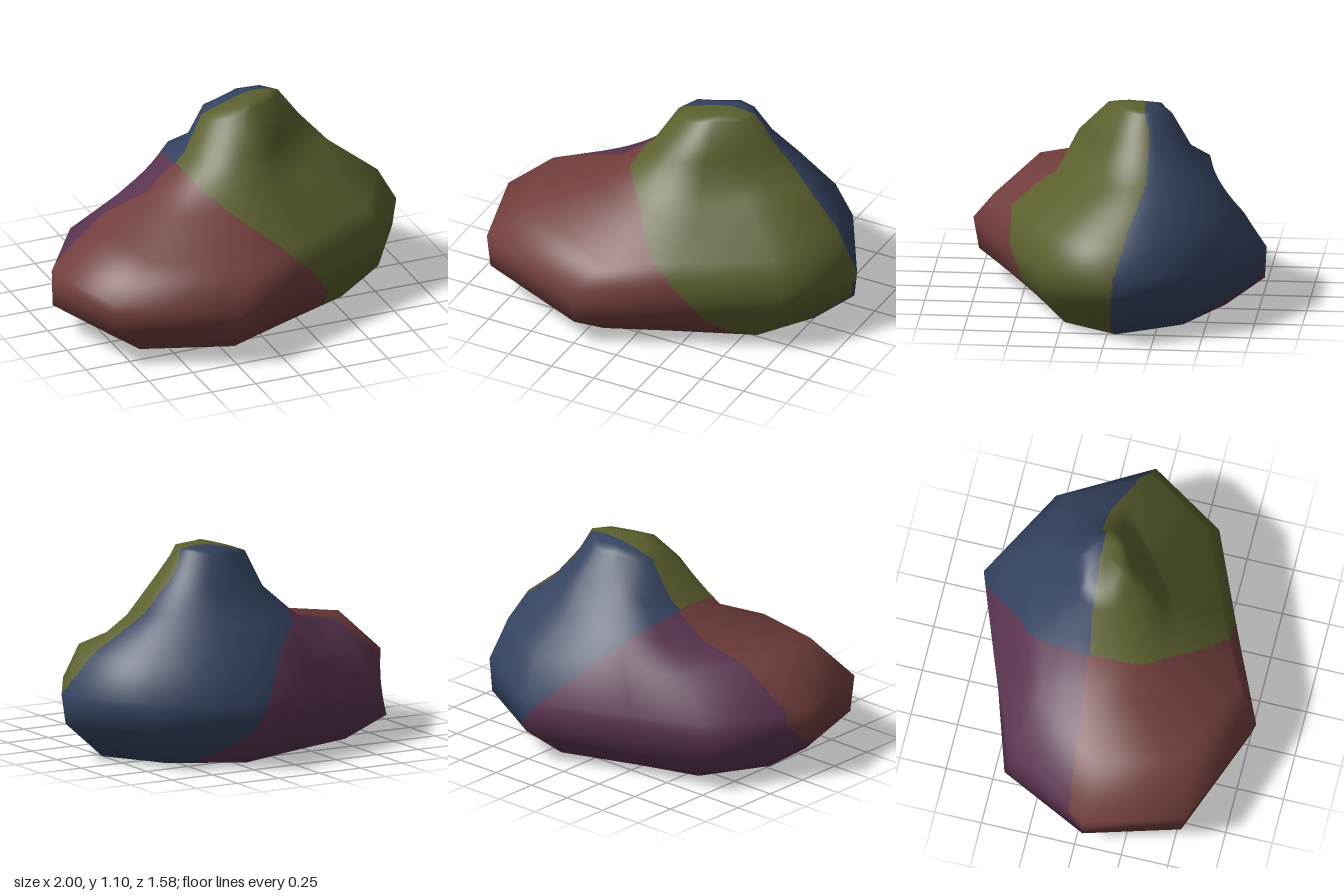
import * as THREE from 'three';

// Widest outline of the boulder, one [x, z] point per spoke
const OUTLINE = [
  [1, -0.05], [0.75, 0.35], [0.22, 0.58], [-0.24, 0.79], [-0.86, 0.56],
  [-1, 0.05], [-0.75, -0.44], [-0.32, -0.58], [0.24, -0.79], [0.73, -0.52],
];

// Rings from the open base to the summit: extents in x and z, height at each spoke,
// and a bulge factor for the spokes that leave the regular outline
const RINGS = [
  { x: [-0.75, 0.75], z: [-0.57, 0.55], y: [0, 0, 0, 0, 0, 0, 0, 0, 0, 0], bulge: {} },
  { x: [-0.99, 0.98], z: [-0.78, 0.76], y: [0.2, 0.19, 0.16, 0.14, 0.18, 0.165, 0.13, 0.15, 0.17, 0.18], bulge: {} },
  { x: [-1, 1], z: [-0.79, 0.79], y: [0.355, 0.35, 0.33, 0.31, 0.375, 0.37, 0.35, 0.35, 0.34, 0.36], bulge: { 6: 0.93 } },
  { x: [-0.74, 0.89], z: [-0.67, 0.67], y: [0.55, 0.53, 0.5, 0.48, 0.55, 0.6, 0.54, 0.54, 0.54, 0.58], bulge: { 6: 0.88 } },
  { x: [-0.43, 0.63], z: [-0.48, 0.34], y: [0.75, 0.69, 0.66, 0.63, 0.63, 0.63, 0.68, 0.72, 0.73, 0.78], bulge: { 1: 0.8, 7: 1.3, 9: 1.05 } },
  { x: [-0.2, 0.47], z: [-0.38, 0.21], y: [0.93, 0.91, 0.9, 0.9, 0.85, 0.82, 0.83, 0.86, 0.9, 0.93], bulge: { 1: 0.85 } },
  { x: [-0.08, 0.36], z: [-0.29, 0.05], y: [1.08, 1.08, 1.075, 1.065, 1.03, 1.02, 1.03, 1.035, 1.045, 1.07], bulge: {} },
  { x: [0.05, 0.3], z: [-0.22, -0.03], y: [1.09, 1.09, 1.09, 1.09, 1.07, 1.06, 1.065, 1.07, 1.075, 1.085], bulge: {} },
  { x: [0.2, 0.2], z: [-0.12, -0.12], y: [1.097, 1.097, 1.097, 1.097, 1.097, 1.097, 1.097, 1.097, 1.097, 1.097], bulge: {} },
];
const STEPS = 24;

// Piecewise linear curve through [t, value] pairs
function curve(points, t) {
  for (let i = 1; i < points.length; i++) {
    const [t0, v0] = points[i - 1], [t1, v1] = points[i];
    if (t <= t1) return THREE.MathUtils.lerp(v0, v1, Math.max(0, (t - t0) / (t1 - t0)));
  }
  return points[points.length - 1][1];
}

const FRONT_EDGE = [[0, 0.45], [0.18, 0.38], [0.33, 0.28], [0.51, 0.1], [0.65, -0.1], [0.76, -0.22], [0.82, -0.26], [1, -0.6]];
const BACK_EDGE = [[0, 0.42], [0.17, 0.3], [0.34, 0.17], [0.6, -0.08], [0.7, -0.18], [0.8, -0.26], [1, -0.6]];
const PEAK_SPLIT = [[0, -0.02], [0.36, -0.05], [0.6, -0.12], [0.77, -0.19], [1, -0.19], [1.1, -0.15]];

// Which colour patch a surface point belongs to
function patchAt(p) {
  const peakSplit = curve(PEAK_SPLIT, p.y) + Math.max(0, 0.2 - p.x) * 0.2;
  const lowSplit = -0.14 - 0.1 * p.x + Math.max(0, 0.3 - p.y) * 0.8;
  if (p.z > peakSplit && p.x > curve(FRONT_EDGE, p.y)) return 0;
  if (p.z <= peakSplit && p.x > curve(BACK_EDGE, p.y)) return 1;
  return p.z > lowSplit ? 2 : 3;
}

// Coarse cage: points and smooth normals
function buildCage() {
  const n = OUTLINE.length, positions = [], index = [];
  for (const r of RINGS) {
    OUTLINE.forEach(([ox, oz], j) => {
      const k = r.bulge[j] ?? 1;
      positions.push(
        THREE.MathUtils.lerp(r.x[0], r.x[1], (ox * k + 1) / 2),
        r.y[j],
        THREE.MathUtils.lerp(r.z[0], r.z[1], (oz * k / 0.79 + 1) / 2),
      );
    });
  }
  for (let i = 0; i < RINGS.length - 1; i++) {
    for (let j = 0; j < n; j++) {
      const a = i * n + j, b = i * n + (j + 1) % n, c = a + n, d = b + n;
      index.push(a, c, b, b, c, d);
    }
  }
  const cage = new THREE.BufferGeometry();
  cage.setAttribute('position', new THREE.Float32BufferAttribute(positions, 3));
  cage.setIndex(index);
  cage.computeVertexNormals();
  const normal = cage.attributes.normal;
  for (let j = 0; j < n; j++) normal.setXYZ((RINGS.length - 1) * n + j, 0, 1, 0);
  return cage;
}

// Blend of the four corners of a cage cell
function blend(attribute, ids, u, v) {
  const [a, b, c, d] = ids.map((i) => new THREE.Vector3().fromBufferAttribute(attribute, i));
  return a.lerp(b, u).lerp(c.lerp(d, u), v);
}

export function createModel() {
  const group = new THREE.Group();
  group.name = 'boulder';

  const patches = [
    ['olivePeakFace', 'olive', 0x5b5f2d],
    ['bluePeakBack', 'slate blue', 0x354360],
    ['redFrontShoulder', 'brick red', 0x703d3c],
    ['purpleBackShoulder', 'plum', 0x5a3450],
  ].map(([name, colorName, hex]) => {
    const material = new THREE.MeshStandardMaterial({ color: hex, side: THREE.DoubleSide });
    material.name = colorName;
    return { name, material, positions: [], normals: [] };
  });

  const cage = buildCage(), n = OUTLINE.length;
  const { position, normal } = cage.attributes;

  // Split each cell finely and sort the small faces into patches
  for (let i = 0; i < RINGS.length - 1; i++) {
    for (let j = 0; j < n; j++) {
      const a = i * n + j, b = i * n + (j + 1) % n;
      const ids = [a, b, a + n, b + n];
      const grid = [];
      for (let v = 0; v <= STEPS; v++) {
        for (let u = 0; u <= STEPS; u++) {
          grid.push({
            p: blend(position, ids, u / STEPS, v / STEPS),
            n: blend(normal, ids, u / STEPS, v / STEPS).normalize(),
          });
        }
      }
      for (let v = 0; v < STEPS; v++) {
        for (let u = 0; u < STEPS; u++) {
          const k = v * (STEPS + 1) + u, up = k + STEPS + 1;
          for (const face of [[k, up, k + 1], [k + 1, up, up + 1]]) {
            const corners = face.map((f) => grid[f]);
            const middle = new THREE.Vector3();
            corners.forEach((c) => middle.addScaledVector(c.p, 1 / 3));
            const patch = patches[patchAt(middle)];
            for (const c of corners) {
              patch.positions.push(c.p.x, c.p.y, c.p.z);
              patch.normals.push(c.n.x, c.n.y, c.n.z);
            }
          }
        }
      }
    }
  }

  for (const patch of patches) {
    const geometry = new THREE.BufferGeometry();
    geometry.setAttribute('position', new THREE.Float32BufferAttribute(patch.positions, 3));
    geometry.setAttribute('normal', new THREE.Float32BufferAttribute(patch.normals, 3));
    const mesh = new THREE.Mesh(geometry, patch.material);
    mesh.name = patch.name;
    group.add(mesh);
  }
  return group;
}
